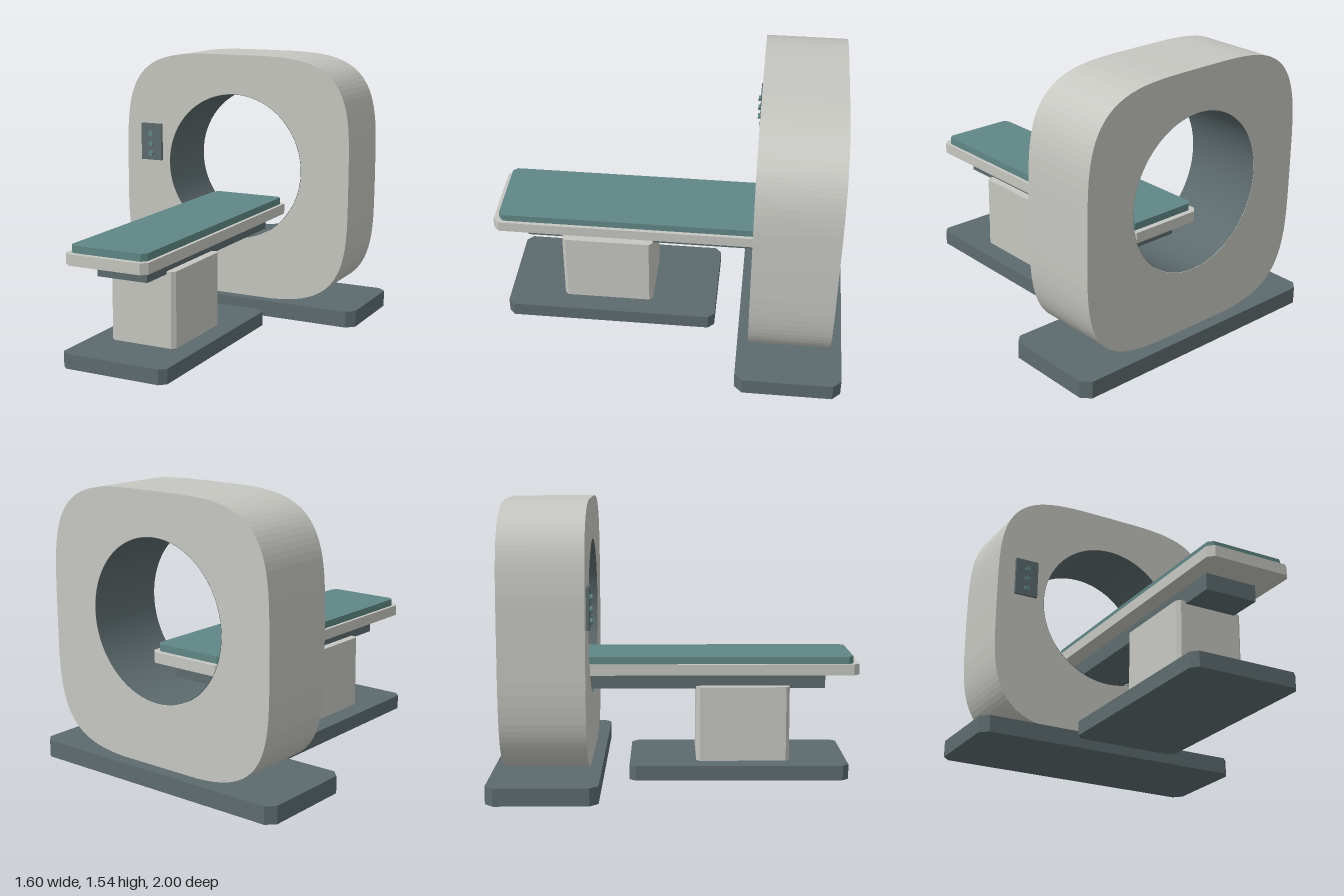
import * as THREE from 'three';

const material = (name, color) => {
  const m = new THREE.MeshStandardMaterial({ color });
  m.name = name;
  return m;
};

export function createModel() {
  const shell = material('warm grey shell', 0xc6c7c1);
  const slate = material('dark slate', 0x5d6b6e);
  const teal = material('teal padding', 0x608785);
  const bore = slate.clone();
  bore.name = 'bore slate';
  bore.side = THREE.DoubleSide;

  const model = new THREE.Group();
  model.name = 'scanner';
  const add = (name, geometry, mat, x = 0, y = 0, z = 0, parent = model) => {
    const mesh = new THREE.Mesh(geometry, mat);
    mesh.name = name;
    mesh.position.set(x, y, z);
    parent.add(mesh);
    return mesh;
  };

  // Upright slab with four chamfered vertical edges
  const slab = (name, mat, halfW, y0, y1, z0, z1, c) => {
    const w = halfW, d = (z1 - z0) / 2;
    const outline = [[w, c - d], [w, d - c], [w - c, d], [c - w, d],
      [-w, d - c], [-w, c - d], [c - w, -d], [w - c, -d]];
    const shape = new THREE.Shape(outline.map(([x, y]) => new THREE.Vector2(x, y)));
    const g = new THREE.ExtrudeGeometry(shape, { depth: y1 - y0, bevelEnabled: false });
    g.rotateX(-Math.PI / 2);
    return add(name, g, mat, 0, y0, (z0 + z1) / 2);
  };

  // Floor plates, pedestal and patient table
  slab('gantryBase', slate, 0.8, 0, 0.095, -1, -0.415, 0.045);
  slab('tableBase', slate, 0.31, 0, 0.082, -0.27, 0.94, 0.035);
  slab('pedestal', shell, 0.195, 0.082, 0.5, 0.1, 0.62, 0.02);
  add('tableBeam', new THREE.BoxGeometry(0.296, 0.09, 1.44), slate, 0, 0.53, 0.1);
  slab('tableTop', shell, 0.242, 0.575, 0.635, -0.72, 1, 0.032);
  slab('mattress', teal, 0.222, 0.635, 0.675, -0.69, 0.968, 0.025);

  // Gantry: superellipse ring with a round bore
  const halfW = 0.73, halfH = 0.726, cy = 0.818, boreY = 0.875, boreR = 0.436;
  const front = -0.478, depth = 0.45;
  const root = (v) => Math.sign(v) * Math.sqrt(Math.abs(v));
  const points = [];
  for (let i = 0; i < 96; i++) {
    const t = (i / 96) * Math.PI * 2;
    points.push(new THREE.Vector2(halfW * root(Math.cos(t)), cy + halfH * root(Math.sin(t))));
  }
  const ring = new THREE.Shape(points);
  ring.holes.push(new THREE.Path().absarc(0, boreY, boreR, 0, Math.PI * 2, true));
  add('gantry', new THREE.ExtrudeGeometry(ring, { depth, bevelEnabled: false, curveSegments: 36 }),
    shell, 0, 0, front - depth);
  const liner = new THREE.CylinderGeometry(boreR - 0.002, boreR - 0.002, depth, 72, 1, true);
  liner.rotateX(Math.PI / 2);
  add('boreLiner', liner, bore, 0, boreY, front - depth / 2);

  // Control panel with three buttons
  const panel = new THREE.Group();
  panel.name = 'controlPanel';
  panel.position.set(-0.555, 0.992, front);
  model.add(panel);
  add('panelPlate', new THREE.BoxGeometry(0.14, 0.225, 0.016), slate, 0, 0, 0.008, panel);
  const button = new THREE.CylinderGeometry(0.016, 0.016, 0.014, 12).rotateX(Math.PI / 2);
  for (const y of [-0.072, -0.01, 0.053]) add('button', button, teal, 0, y, 0.023, panel);

  return model;
}
